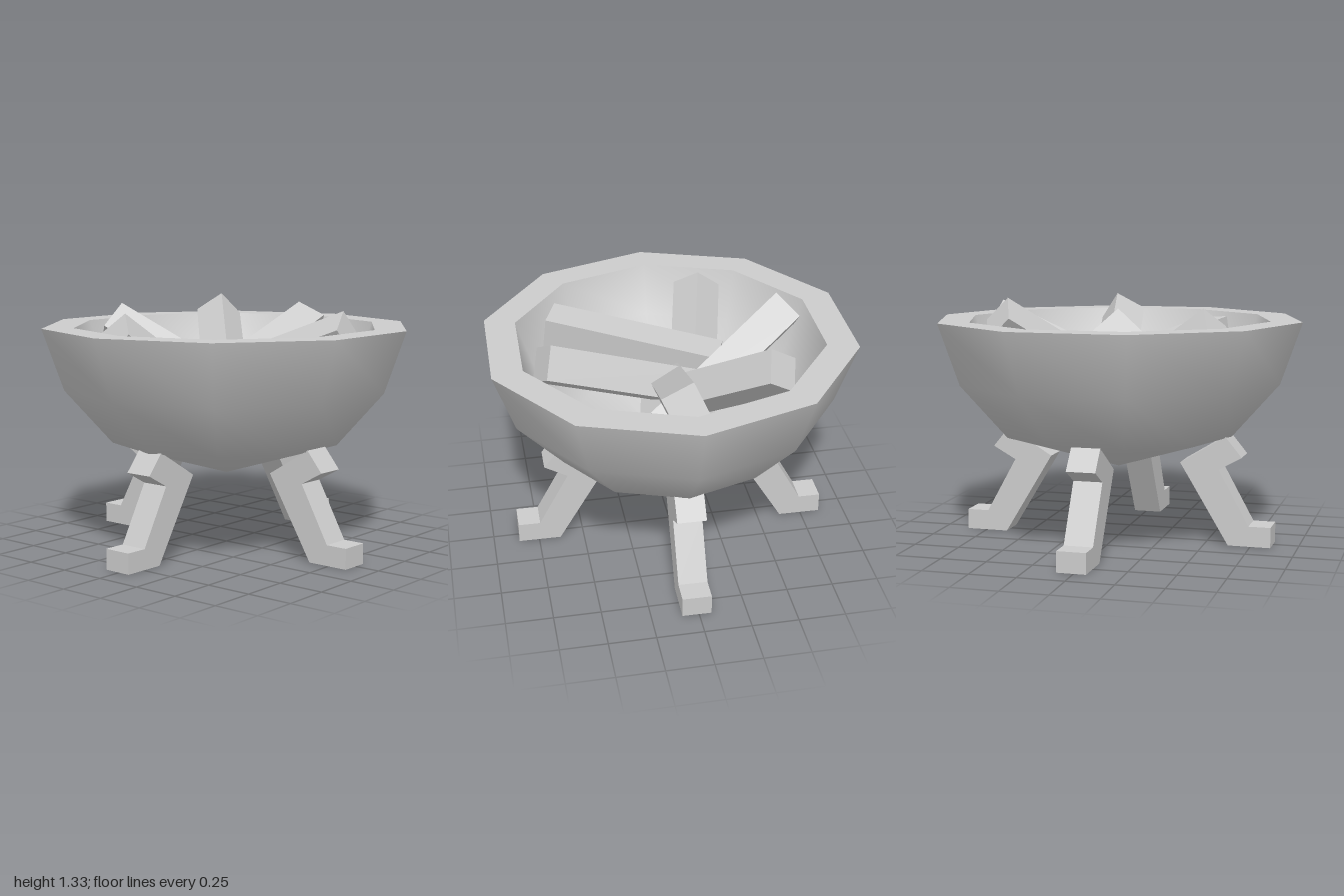
import * as THREE from 'three';

const material = new THREE.MeshStandardMaterial({ color: 0xcccccc });
const flatMaterial = new THREE.MeshStandardMaterial({ color: 0xcccccc, flatShading: true });
const SIDES = 10, RIM_Y = 1.2, INNER = 0.83;
const rad = THREE.MathUtils.degToRad;

function lathe(name, points) {
  const geometry = new THREE.LatheGeometry(points.map(([r, y]) => new THREE.Vector2(r, y)), SIDES);
  const mesh = new THREE.Mesh(geometry, material);
  mesh.name = name;
  return mesh;
}

// Ten-sided bowl: outer shell, flat rim and a scaled inner shell
function createBowl() {
  const profile = [[0, 0.39], [0.63, 0.58], [0.885, 0.87], [1, RIM_Y]];
  const inner = profile.map(([r, y]) => [r * INNER, RIM_Y - (RIM_Y - y) * INNER]).reverse();
  const bowl = new THREE.Group();
  bowl.name = 'bowl';
  bowl.add(
    lathe('bowlOutside', profile),
    lathe('bowlRim', [[1, RIM_Y], [INNER, RIM_Y]]),
    lathe('bowlInside', inner)
  );
  return bowl;
}

// Four bent legs with feet, cut from one side outline
function createLegs() {
  const outline = [
    [0.86, 0], [0.86, 0.11], [0.74, 0.11], [0.575, 0.41], [0.7, 0.48],
    [0.61, 0.59], [0.365, 0.44], [0.63, 0]
  ];
  const shape = new THREE.Shape(outline.map(([x, y]) => new THREE.Vector2(x, y)));
  const width = 0.155;
  const geometry = new THREE.ExtrudeGeometry(shape, { depth: width, bevelEnabled: false });
  geometry.translate(0, 0, -width / 2);
  const legs = new THREE.Group();
  legs.name = 'legs';
  ['leftLeg', 'backLeg', 'rightLeg', 'frontLeg'].forEach((name, i) => {
    const leg = new THREE.Mesh(geometry, flatMaterial);
    leg.name = name;
    leg.rotation.y = i * Math.PI / 2;
    legs.add(leg);
  });
  return legs;
}

// Square logs, each placed by the highest corner of its outer end
function createLogs() {
  const side = 0.18, length = 0.95;
  const geometry = new THREE.BoxGeometry(side, side, length);
  geometry.translate(-side / 2, -side / 2, -length / 2);
  // corner, then heading, upward tilt and roll in degrees
  const placements = [
    [[0.0, 1.29, -0.66], 175.4, 23, 25],
    [[-0.43, 1.33, -0.48], -136.6, 31, 51],
    [[-0.62, 1.3, 0.165], -64.8, 29, 41],
    [[-0.26, 1.28, 0.52], -13.3, 35, 49],
    [[0.55, 1.18, 0.49], 68.3, 8, 86],
    [[0.64, 1.295, -0.18], 100.4, 21, 31]
  ];
  const logs = new THREE.Group();
  logs.name = 'logs';
  placements.forEach(([corner, heading, tilt, roll], i) => {
    const log = new THREE.Mesh(geometry, flatMaterial);
    log.name = `log${i + 1}`;
    log.position.set(...corner);
    log.rotation.set(-rad(tilt), rad(heading), rad(roll), 'YXZ');
    logs.add(log);
  });
  return logs;
}

export function createModel() {
  const model = new THREE.Group();
  model.name = 'firePit';
  const stand = new THREE.Group();
  stand.name = 'bowlOnLegs';
  stand.rotation.y = -0.0135;
  stand.add(createBowl(), createLegs());
  model.add(stand, createLogs());
  return model;
}
